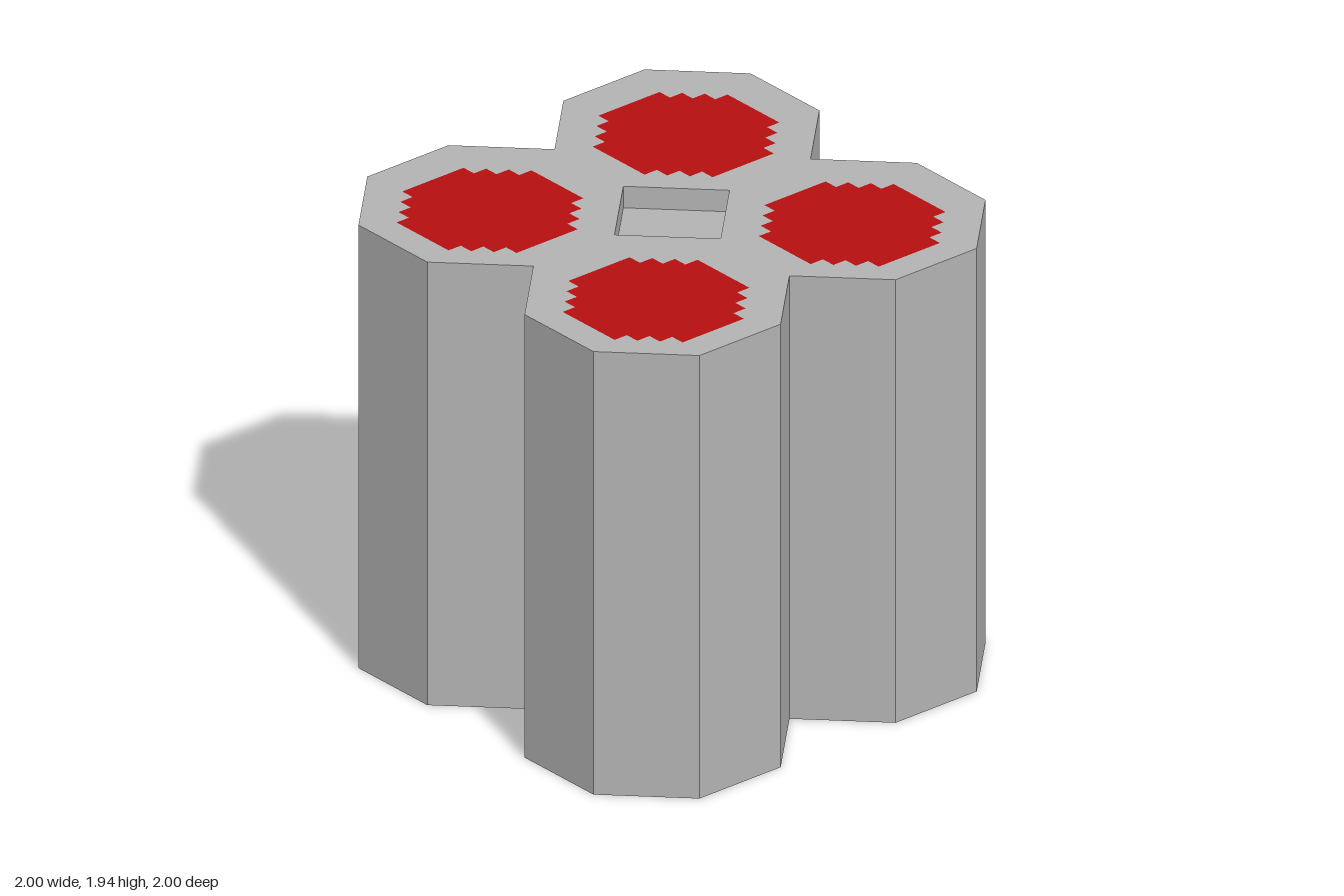
import * as THREE from 'three';

const HEIGHT = 1.9375;
const A = Math.SQRT1_2;      // 0.707, notch distance
const B = 1 - A;             // 0.293, central recess radius
const PIXEL = 1 / 16;        // step size of the jagged red discs

// Repeats the points of one quadrant around the origin, counter-clockwise
function fourfold(points) {
  const all = [];
  for (let i = 0; i < 4; i++) {
    for (const [x, y] of points) {
      all.push(new THREE.Vector2(x, y).rotateAround(new THREE.Vector2(), i * Math.PI / 2));
    }
  }
  return all;
}

export function createModel() {
  const grey = new THREE.MeshStandardMaterial({ color: 0xb4b4b4 });
  grey.name = 'casing grey';
  const red = new THREE.MeshStandardMaterial({ color: 0xb70f0f });
  red.name = 'cap red';

  const model = new THREE.Group();
  model.name = 'clusteredColumns';

  function add(name, geometry, material, x, y, z) {
    const mesh = new THREE.Mesh(geometry, material);
    mesh.name = name;
    mesh.position.set(x, y, z);
    model.add(mesh);
  }

  // Four joined octagonal columns with a square opening between them
  const outline = new THREE.Shape(fourfold([[A, 0], [1, B], [1, A], [A, 1], [B, 1]]));
  outline.holes.push(new THREE.Path(fourfold([[B, 0]]).reverse()));
  const body = new THREE.ExtrudeGeometry(outline, { depth: HEIGHT, bevelEnabled: false });
  body.rotateX(-Math.PI / 2);
  add('columns', body, grey, 0, 0, 0);

  // Recessed plates closing the opening at the top and bottom
  const plate = new THREE.CircleGeometry(B, 4);
  add('topRecess', plate.clone().rotateX(-Math.PI / 2), grey, 0, HEIGHT - 0.094, 0);
  add('bottomRecess', plate.clone().rotateX(Math.PI / 2), grey, 0, 0.038, 0);

  // Stepped red discs on the column tops, set half a step off centre
  const steps = [[5.5, -2.5], [5.5, 2.5], [4.5, 2.5], [4.5, 3.5], [3.5, 3.5], [3.5, 4.5], [2.5, 4.5]];
  const disc = new THREE.ShapeGeometry(
    new THREE.Shape(fourfold(steps.map(([x, y]) => [x * PIXEL, y * PIXEL]))));
  disc.rotateX(-Math.PI / 2);
  for (const x of [-0.5, 0.5]) {
    for (const z of [-0.5, 0.5]) {
      add('redCap', disc, red, x - PIXEL / 2, HEIGHT + 0.002, z + PIXEL / 2);
    }
  }

  return model;
}
